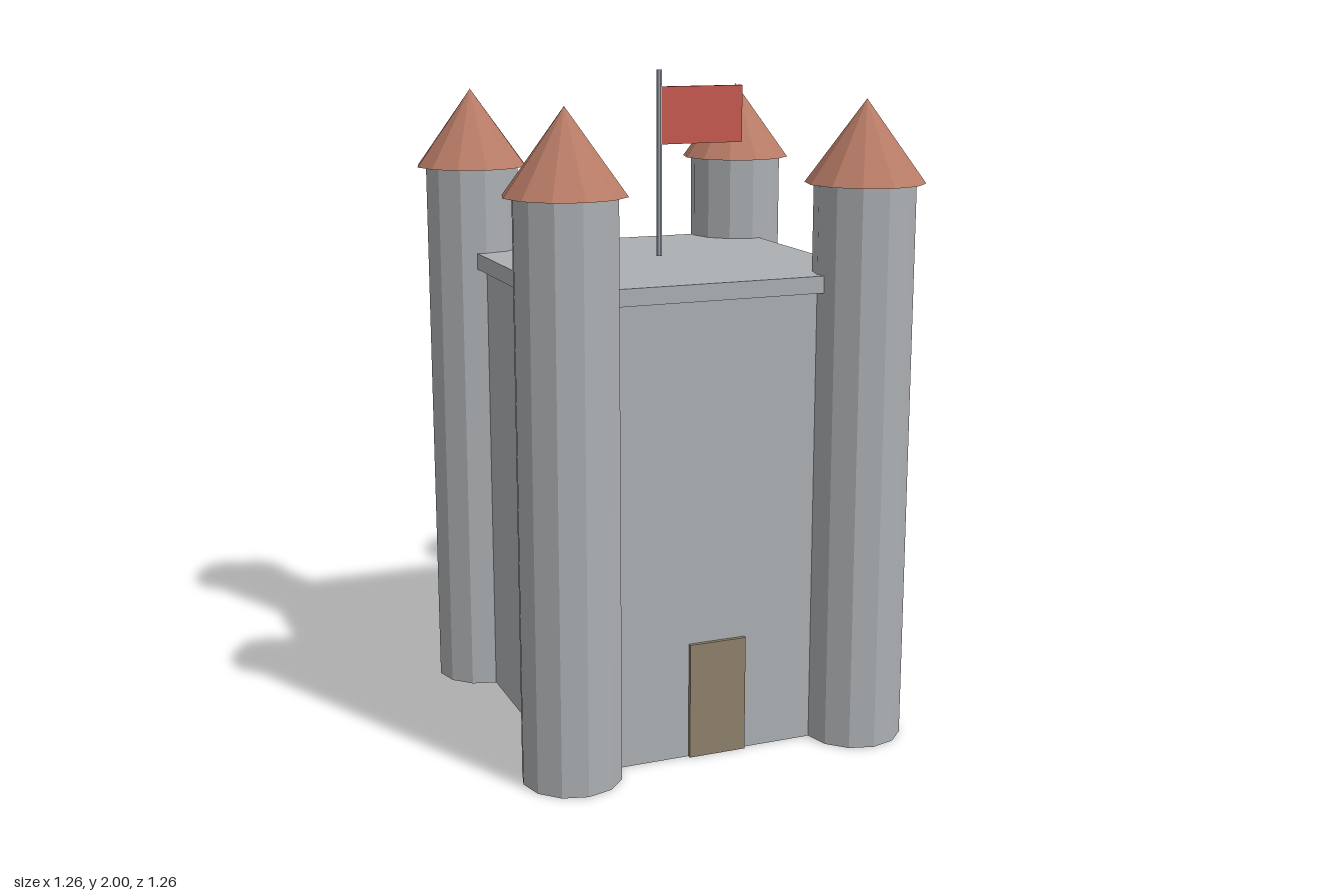
import * as THREE from 'three';

function flat(name, color) {
  const m = new THREE.MeshStandardMaterial({ color, flatShading: true });
  m.name = name;
  return m;
}

export function createModel() {
  const stone = flat('stone', 0xadb0b3);
  const tile = flat('roofTile', 0xb97c67);
  const wood = flat('wood', 0x8f806b);
  const cloth = flat('flagRed', 0xc65a50);
  const metal = flat('poleMetal', 0xa3abb8);

  const castle = new THREE.Group();
  castle.name = 'castle';

  function add(parent, name, geometry, material, x, y, z) {
    const mesh = new THREE.Mesh(geometry, material);
    mesh.name = name;
    mesh.position.set(x, y, z);
    parent.add(mesh);
    return mesh;
  }

  // Each box is placed by the height of its underside
  function box(name, w, h, d, material, x, bottom, z) {
    return add(castle, name, new THREE.BoxGeometry(w, h, d), material, x, bottom + h / 2, z);
  }

  const corner = 0.457;

  // Keep and its overhanging roof slab
  box('keep', corner * 2, 1.38, corner * 2, stone, 0, 0, 0);
  box('roofSlab', 0.97, 0.05, 0.97, stone, 0, 1.38, 0);

  // Door, slightly proud of the front wall
  box('door', 0.178, 0.355, 0.024, wood, 0, 0, corner);

  // Four twelve-sided corner towers with pointed roofs
  const shaft = new THREE.CylinderGeometry(0.148, 0.148, 1.69, 12);
  const cone = new THREE.ConeGeometry(0.175, 0.24, 12);
  for (const sx of [-1, 1]) {
    for (const sz of [-1, 1]) {
      const tower = new THREE.Group();
      tower.name = (sz > 0 ? 'front' : 'back') + (sx > 0 ? 'Left' : 'Right') + 'Tower';
      tower.position.set(sx * corner, 0, sz * corner);
      add(tower, 'towerShaft', shaft, stone, 0, 0.845, 0);
      add(tower, 'towerRoof', cone, tile, 0, 1.81, 0);
      castle.add(tower);
    }
  }

  // Flagpole and flag
  add(castle, 'flagpole', new THREE.CylinderGeometry(0.009, 0.009, 0.56, 8), metal, 0, 1.72, 0);
  box('flag', 0.268, 0.172, 0.012, cloth, 0.137, 1.778, 0);

  return castle;
}
